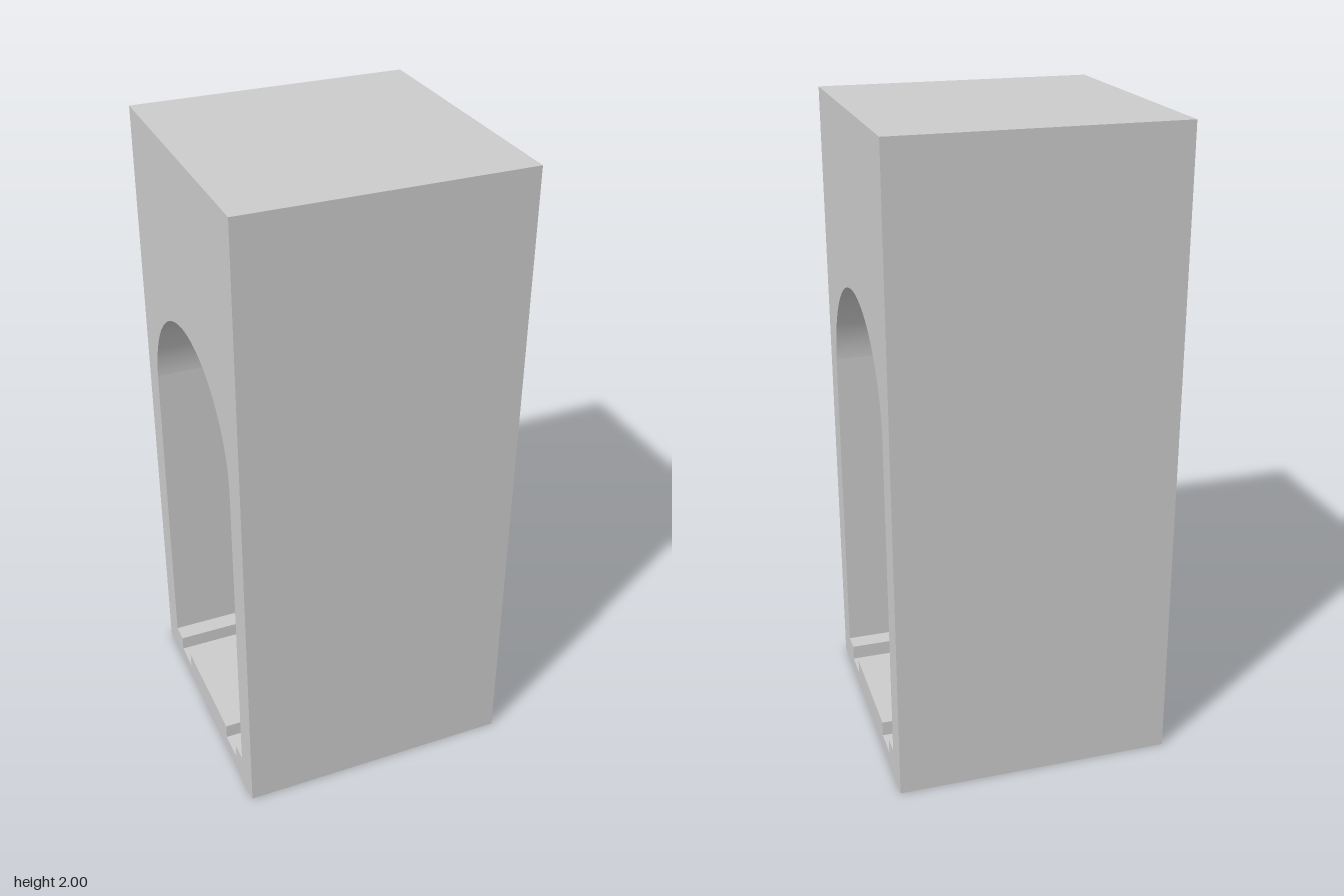
import * as THREE from 'three';
import { toCreasedNormals } from 'three/addons/utils/BufferGeometryUtils.js';

const HALF = 0.433, INNER = 0.343;              // outer and inner half widths
const FLOOR = 0.095, WALL_TOP = 1.145, TOP = 2;
const NICHE = { x: 0.015, half: 0.095, spring: 0.885, offset: 0.03, r: 0.0996 };

const material = new THREE.MeshStandardMaterial({ color: 0xcccccc });
const thin = new THREE.MeshStandardMaterial({ color: 0xcccccc, side: THREE.DoubleSide });

function add(parent, name, geometry, mat = material) {
  const mesh = new THREE.Mesh(geometry, mat);
  mesh.name = name;
  parent.add(mesh);
  return mesh;
}

// Sweep a cross-section (z, y) along the tunnel's x axis
function sweep(shape) {
  const g = new THREE.ExtrudeGeometry(shape, { depth: 2 * HALF, bevelEnabled: false, curveSegments: 48 });
  g.translate(0, 0, -HALF).rotateY(Math.PI / 2);
  return toCreasedNormals(g, 0.5);
}

// Side wall in its own frame: inner face on z = 0 looking to +z
function makeWall(name) {
  const wall = new THREE.Group();
  wall.name = name;
  const t = HALF - INNER, h = WALL_TOP - FLOOR;
  const { x, half, spring, offset, r } = NICHE;

  // Outer face and two ends: a box without front, top and bottom
  const box = new THREE.BoxGeometry(2 * HALF, h, t);
  const idx = Array.from(box.index.array);
  box.setIndex([...idx.slice(0, 12), ...idx.slice(30, 36)]);
  box.clearGroups();
  box.translate(0, FLOOR + h / 2, -t / 2);
  add(wall, 'wallOuter', box);

  // Inner face, cut by the round-topped niche
  const face = new THREE.Shape();
  face.moveTo(-HALF, FLOOR);
  face.lineTo(x - half, FLOOR);
  face.lineTo(x - half, spring);
  face.absarc(x, spring, half, Math.PI, 0, true);
  face.lineTo(x + half, FLOOR);
  face.lineTo(HALF, FLOOR);
  face.lineTo(HALF, WALL_TOP);
  face.lineTo(-HALF, WALL_TOP);
  add(wall, 'wallInner', new THREE.ShapeGeometry(face, 24));

  // Niche: upright cylinder segment with a spherical head
  const a = Math.atan2(half, offset), nh = spring - FLOOR;
  const back = new THREE.CylinderGeometry(r, r, nh, 24, 1, true, Math.PI - a, 2 * a);
  back.translate(x, FLOOR + nh / 2, offset);
  add(wall, 'nicheBack', back, thin);
  const head = new THREE.SphereGeometry(r, 24, 12, 0, Math.PI, 0, a);
  head.rotateX(-Math.PI / 2).translate(x, spring, offset);
  add(wall, 'nicheHead', head, thin);
  return wall;
}

export function createModel() {
  const model = new THREE.Group();
  model.name = 'tunnelSection';

  // Floor slab with two grooves
  const g0 = 0.19, g1 = 0.283, gy = 0.047;
  const slab = new THREE.Shape([
    [-HALF, 0], [HALF, 0], [HALF, FLOOR], [g1, FLOOR], [g1, gy], [g0, gy], [g0, FLOOR],
    [-g0, FLOOR], [-g0, gy], [-g1, gy], [-g1, FLOOR], [-HALF, FLOOR],
  ].map(([z, y]) => new THREE.Vector2(z, y)));
  add(model, 'floorSlab', sweep(slab));

  // Side walls, one turned half round
  const rear = makeWall('rearWall');
  rear.position.z = -INNER;
  const front = makeWall('frontWall');
  front.position.z = INNER;
  front.rotation.y = Math.PI;
  model.add(rear, front);

  // Solid block above with the barrel vault
  const centre = 1.471 - INNER, a = Math.asin((WALL_TOP - centre) / INNER);
  const roof = new THREE.Shape();
  roof.moveTo(HALF, WALL_TOP);
  roof.lineTo(HALF, TOP);
  roof.lineTo(-HALF, TOP);
  roof.lineTo(-HALF, WALL_TOP);
  roof.absarc(0, centre, INNER, Math.PI - a, a, true);
  add(model, 'vaultBlock', sweep(roof));

  return model;
}
